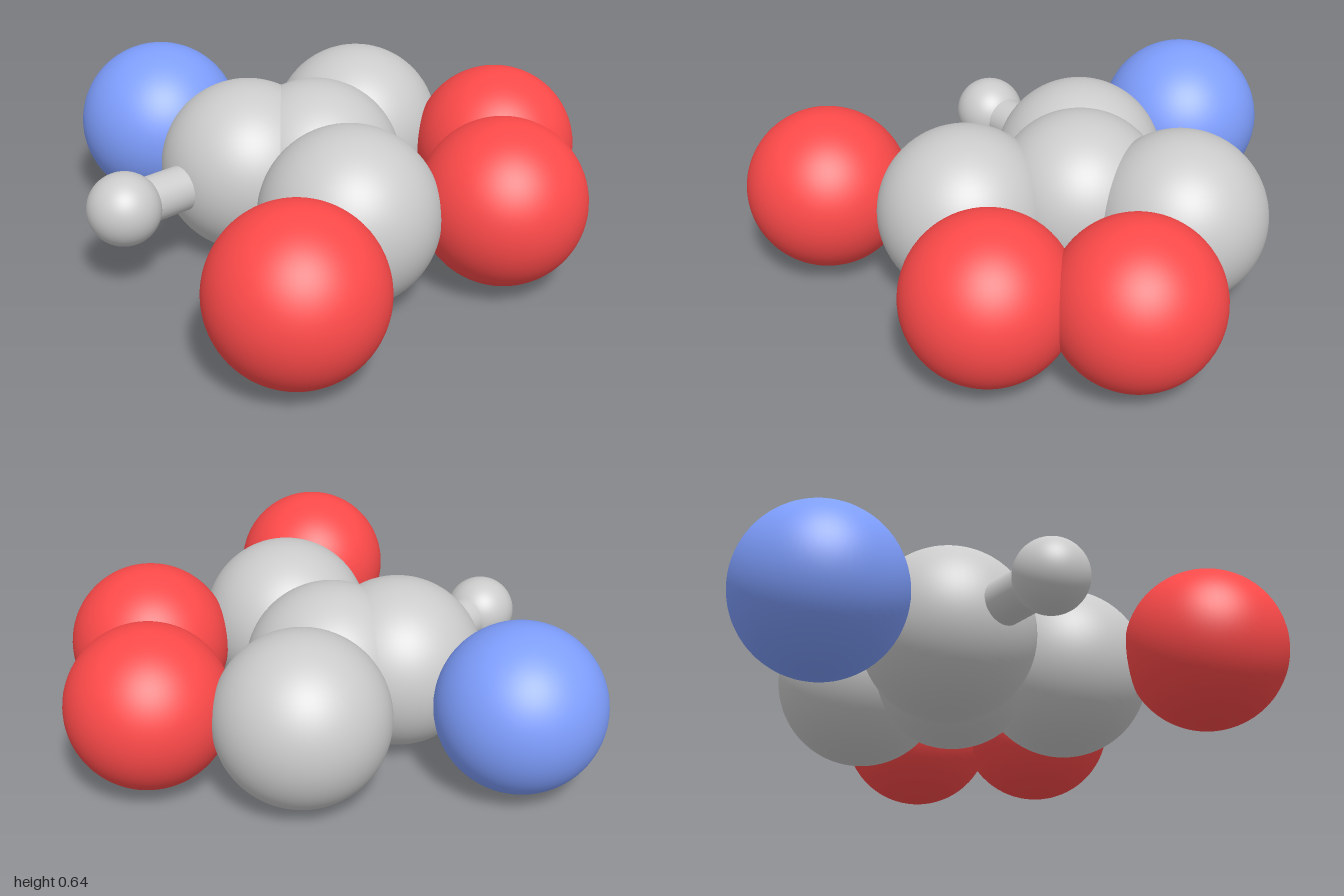
import * as THREE from 'three';

const CENTRE_Y = 0.32;

function makeMaterial(color) {
  return new THREE.MeshStandardMaterial({ color });
}

export function createModel() {
  const group = new THREE.Group();
  const grey = makeMaterial(0xcccccc);
  const red = makeMaterial(0xff4a4a);
  const blue = makeMaterial(0x7f9fff);

  // Every atom lies in one horizontal plane: name, x, z, radius, material
  const atoms = [
    ['centralCarbon', 0.025, -0.02, 0.32, grey],
    ['frontCarbon', -0.14, 0.17, 0.32, grey],
    ['backCarbon', -0.14, -0.38, 0.32, grey],
    ['leftCarbon', 0.415, 0.17, 0.32, grey],
    ['nitrogen', -0.69, 0.17, 0.31, blue],
    ['backOxygen', 0.34, -0.66, 0.3, red],
    ['leftOxygen', 0.69, -0.31, 0.3, red],
    ['frontOxygen', 0.69, 0.65, 0.3, red],
    ['hydrogen', -0.14, 0.725, 0.132, grey],
  ];
  for (const [name, x, z, radius, material] of atoms) {
    const atom = new THREE.Mesh(new THREE.SphereGeometry(radius, 64, 40), material);
    atom.name = name;
    atom.position.set(x, CENTRE_Y, z);
    group.add(atom);
  }

  // Short rod joining the hydrogen to the front carbon
  const bond = new THREE.Mesh(new THREE.CylinderGeometry(0.083, 0.083, 0.5, 40), grey);
  bond.name = 'hydrogenBond';
  bond.rotation.x = Math.PI / 2;
  bond.position.set(-0.14, CENTRE_Y, 0.43);
  group.add(bond);

  return group;
}
